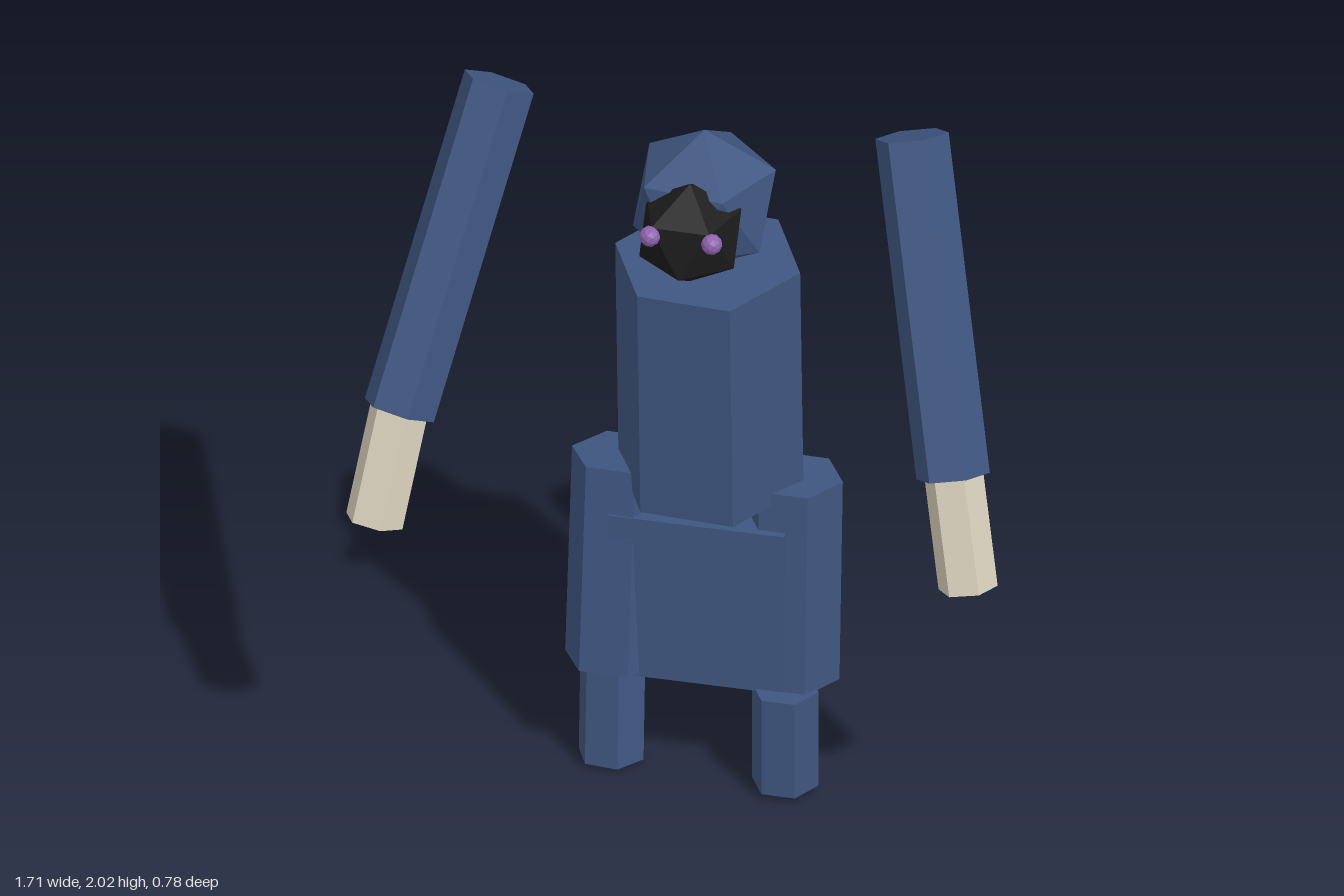
import * as THREE from 'three';

const material = (name, color) => {
  const m = new THREE.MeshStandardMaterial({ color, flatShading: true });
  m.name = name;
  return m;
};

export function createModel() {
  const group = new THREE.Group();
  const blue = material('slateBlue', 0x3f5680);
  const bone = material('bone', 0xd9d0bc);
  const black = material('black', 0x1b1b1b);
  const purple = material('purple', 0x8d62ad);

  const add = (name, geometry, mat) => {
    const mesh = new THREE.Mesh(geometry, mat);
    mesh.name = name;
    group.add(mesh);
    return mesh;
  };

  // Six-sided prism between two end centres, corners pointing along x
  const prism = (name, top, bottom, radius, mat, roll = 0) => {
    const a = new THREE.Vector3(...top), b = new THREE.Vector3(...bottom);
    const axis = a.clone().sub(b);
    const geometry = new THREE.CylinderGeometry(radius, radius, axis.length(), 6);
    geometry.rotateY(Math.PI / 6 + roll);
    const mesh = add(name, geometry, mat);
    mesh.position.copy(a).add(b).multiplyScalar(0.5);
    mesh.quaternion.setFromUnitVectors(new THREE.Vector3(0, 1, 0), axis.normalize());
    return mesh;
  };

  // Icosahedron standing on a corner
  const gem = (name, radius, yaw, position, mat) => {
    const geometry = new THREE.IcosahedronGeometry(radius, 0);
    geometry.rotateZ(-Math.atan(2 / (1 + Math.sqrt(5))));
    geometry.rotateY(yaw);
    add(name, geometry, mat).position.set(...position);
  };

  // Head and face
  gem('head', 0.207, 0.18, [0, 1.733, -0.08], blue);
  gem('face', 0.148, Math.PI / 10, [0, 1.718, 0.07], black);
  for (const [name, x] of [['leftEye', 0.085], ['rightEye', -0.08]]) {
    add(name, new THREE.IcosahedronGeometry(0.028, 1), purple).position.set(x, 1.762, 0.182);
  }

  // Body
  prism('torso', [0, 1.528, -0.115], [0, 0.85, -0.15], 0.25, blue, -0.05);
  const hips = add('hips', new THREE.BoxGeometry(0.465, 0.472, 0.375), blue);
  hips.position.set(-0.008, 0.532, -0.194);
  hips.rotation.set(-0.02, 0.015, 0);

  // Arms and hands
  prism('leftArm', [0.54, 1.972, -0.133], [0.725, 1.145, 0.168], 0.097, blue, 0.1);
  prism('rightArm', [-0.557, 1.978, -0.12], [-0.733, 1.168, 0.24], 0.097, blue, -0.1);
  prism('leftHand', [0.72, 1.18, 0.157], [0.778, 0.845, 0.22], 0.078, bone, 0.1);
  prism('rightHand', [-0.73, 1.2, 0.226], [-0.779, 0.873, 0.322], 0.078, bone, -0.1);

  // Legs
  prism('leftThigh', [0.22, 0.875, -0.155], [0.22, 0.295, -0.12], 0.13, blue);
  prism('rightThigh', [-0.238, 0.885, -0.14], [-0.24, 0.302, -0.075], 0.13, blue);
  prism('leftShin', [0.228, 0.305, -0.03], [0.228, 0.02, -0.03], 0.089, blue);
  prism('rightShin', [-0.246, 0.305, -0.088], [-0.246, 0.008, -0.07], 0.089, blue, -0.1);

  return group;
}
